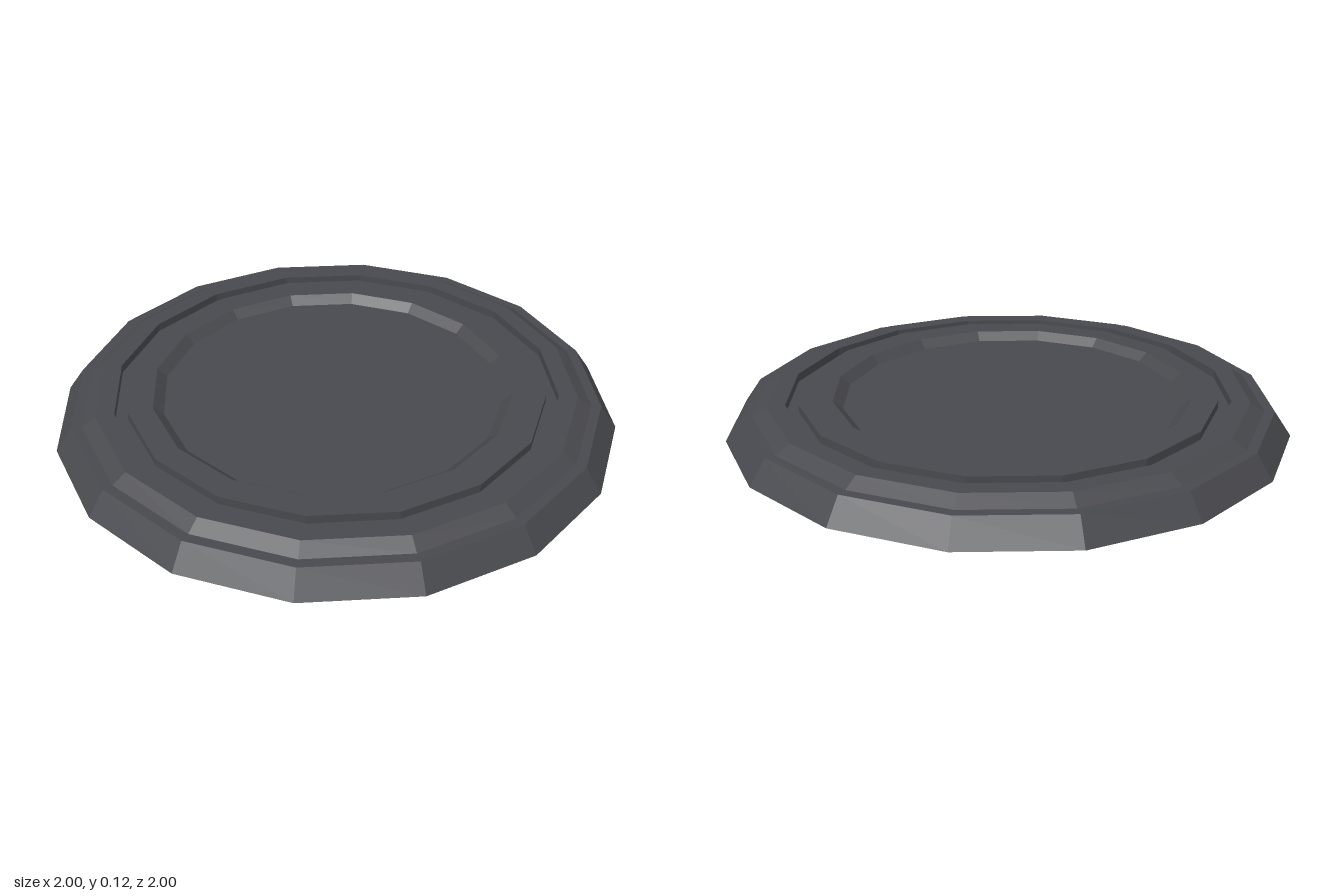
import * as THREE from 'three';

const SIDES = 16;

export function createModel() {
  const group = new THREE.Group();
  const material = new THREE.MeshStandardMaterial({ color: 0x48494e, flatShading: true });

  const lathe = (name, points) => {
    const geometry = new THREE.LatheGeometry(points.map(([r, y]) => new THREE.Vector2(r, y)), SIDES);
    const mesh = new THREE.Mesh(geometry, material);
    mesh.name = name;
    group.add(mesh);
    return geometry;
  };

  // underside, sloped skirt, ledge, raised rim and the outer wall of the groove
  lathe('baseAndRim', [
    [0, 0], [1, 0], [0.94, 0.085], [0.905, 0.085], [0.855, 0.115], [0.79, 0.115], [0.79, 0.085], [0.745, 0.085],
  ]);

  // raised inner ring with a sloped recess in the middle
  const plate = lathe('recessedPlate', [
    [0.745, 0.085], [0.745, 0.115], [0.642, 0.115], [0.607, 0.085], [0, 0.085],
  ]);

  // the recess sits slightly off centre
  const pos = plate.attributes.position;
  for (let i = 0; i < pos.count; i++) {
    if (Math.hypot(pos.getX(i), pos.getZ(i)) < 0.7) pos.setX(i, pos.getX(i) - 0.015);
  }
  return group;
}
